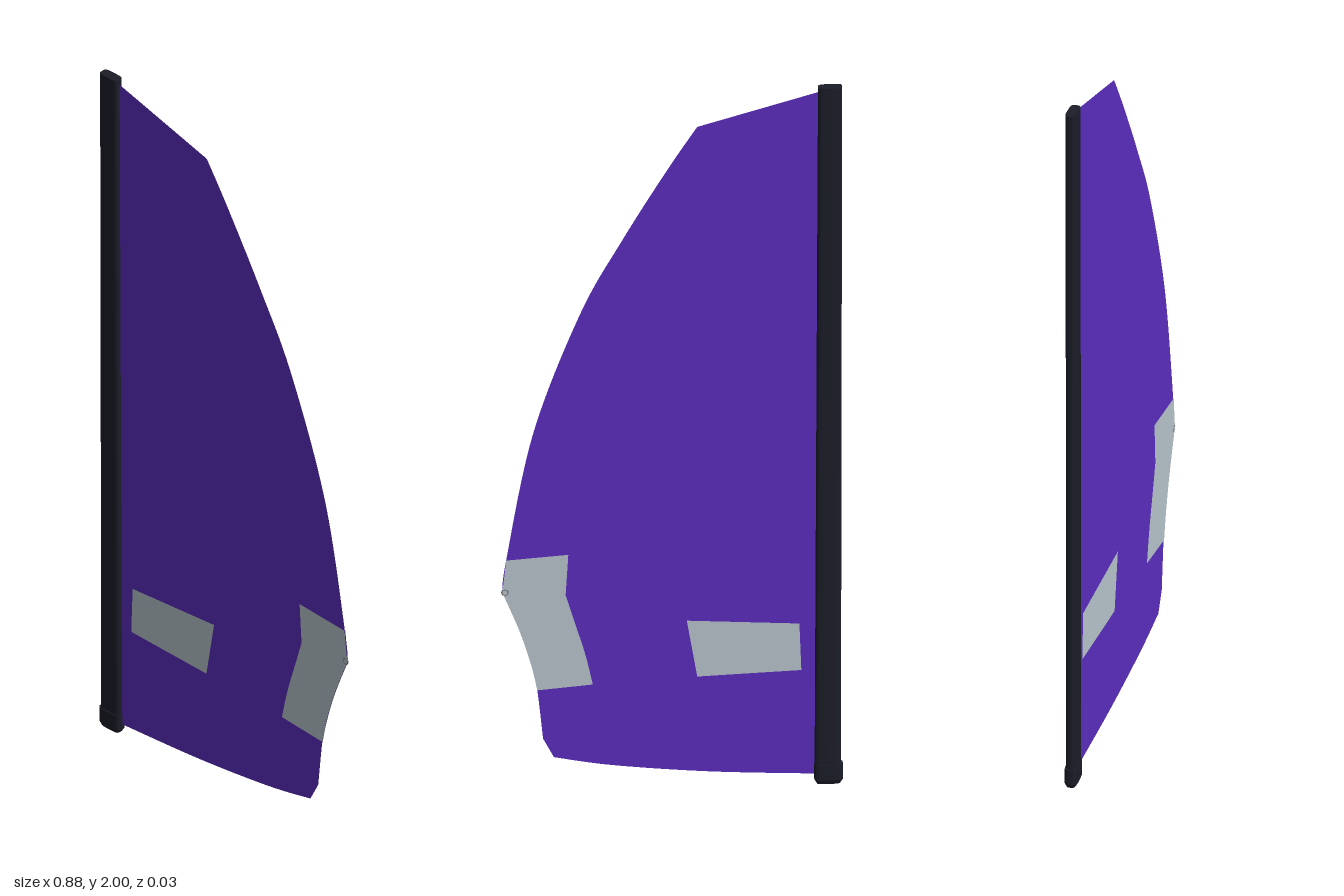
import * as THREE from 'three';

const purple = new THREE.MeshStandardMaterial({ color: 0x5b2dc0, side: THREE.DoubleSide });
const silver = new THREE.MeshStandardMaterial({ color: 0xb9c5cd, side: THREE.DoubleSide });
const black = new THREE.MeshStandardMaterial({ color: 0x1b1d28 });
const steel = new THREE.MeshStandardMaterial({ color: 0x6a7078 });

const vec = (pts) => pts.map(([x, y]) => new THREE.Vector2(x, y));

// Outline whose named stretches are smooth splines and the rest straight
function outline(start, ...runs) {
  const s = new THREE.Shape();
  s.moveTo(...start);
  for (const run of runs) {
    if (run.length === 1) s.lineTo(...run[0]);
    else s.splineThru(vec(run));
  }
  return s;
}

function add(group, name, geometry, material) {
  const mesh = new THREE.Mesh(geometry, material);
  mesh.name = name;
  group.add(mesh);
  return mesh;
}

// Upright flattened tube with rounded ends, tapering from bottom to top
function sleeve(y0, y1, bottom, top) {
  const n = 24, r = 1;
  const g = new THREE.CylinderGeometry(r, r, y1 - y0, n, 1);
  g.translate(0, (y0 + y1) / 2, 0);
  const p = g.attributes.position;
  const squash = (v) => Math.sign(v) * Math.pow(Math.abs(v), 0.5);
  for (let i = 0; i < p.count; i++) {
    const [cx, rx, rz] = p.getY(i) > (y0 + y1) / 2 ? top : bottom;
    p.setX(i, cx + squash(p.getX(i)) * rx);
    p.setZ(i, squash(p.getZ(i)) * rz);
  }
  g.computeVertexNormals();
  return g;
}

export function createModel() {
  const model = new THREE.Group();
  model.name = 'sail';

  // Sail cloth: a single flat sheet
  const cloth = outline([-0.385, 1.987],
    [[-0.067, 1.9]],
    [[0.01, 1.78], [0.125, 1.585], [0.235, 1.375], [0.355, 1.04], [0.425, 0.677], [0.435, 0.585]],
    [[0.39, 0.47], [0.36, 0.37], [0.345, 0.3], [0.33, 0.16]],
    [[0.302, 0.105]],
    [[0.15, 0.075], [-0.1, 0.045], [-0.385, 0.025]]);
  add(model, 'sailCloth', new THREE.ShapeGeometry(cloth, 10), purple);

  // Reinforcement patches on both faces
  const patches = {
    tackPatch: outline([-0.33, 0.46], [[-0.04, 0.482]], [[-0.067, 0.32]], [[-0.335, 0.326]]),
    clewPatch: outline([0.265, 0.686],
      [[0.425, 0.677]], [[0.435, 0.585]],
      [[0.39, 0.47], [0.36, 0.37], [0.345, 0.3]],
      [[0.202, 0.31]],
      [[0.222, 0.4], [0.25, 0.495], [0.272, 0.57]]),
  };
  for (const [name, shape] of Object.entries(patches)) {
    for (const [side, z] of [['Front', 0.0015], ['Back', -0.0015]]) {
      add(model, name + side, new THREE.ShapeGeometry(shape, 8), silver).position.z = z;
    }
  }

  // Clew eyelet
  add(model, 'clewEyelet', new THREE.TorusGeometry(0.008, 0.002, 6, 16), steel)
    .position.set(0.428, 0.585, 0);

  // Mast sleeve and the boot at its foot
  add(model, 'mastSleeve', sleeve(0.02, 2, [-0.403, 0.034, 0.013], [-0.409, 0.031, 0.014]), black);
  add(model, 'mastBoot', sleeve(0.012, 0.055, [-0.405, 0.037, 0.016], [-0.405, 0.037, 0.016]), black);
  add(model, 'mastBootFoot', sleeve(0, 0.012, [-0.405, 0.03, 0.012], [-0.405, 0.037, 0.016]), black);

  return model;
}
